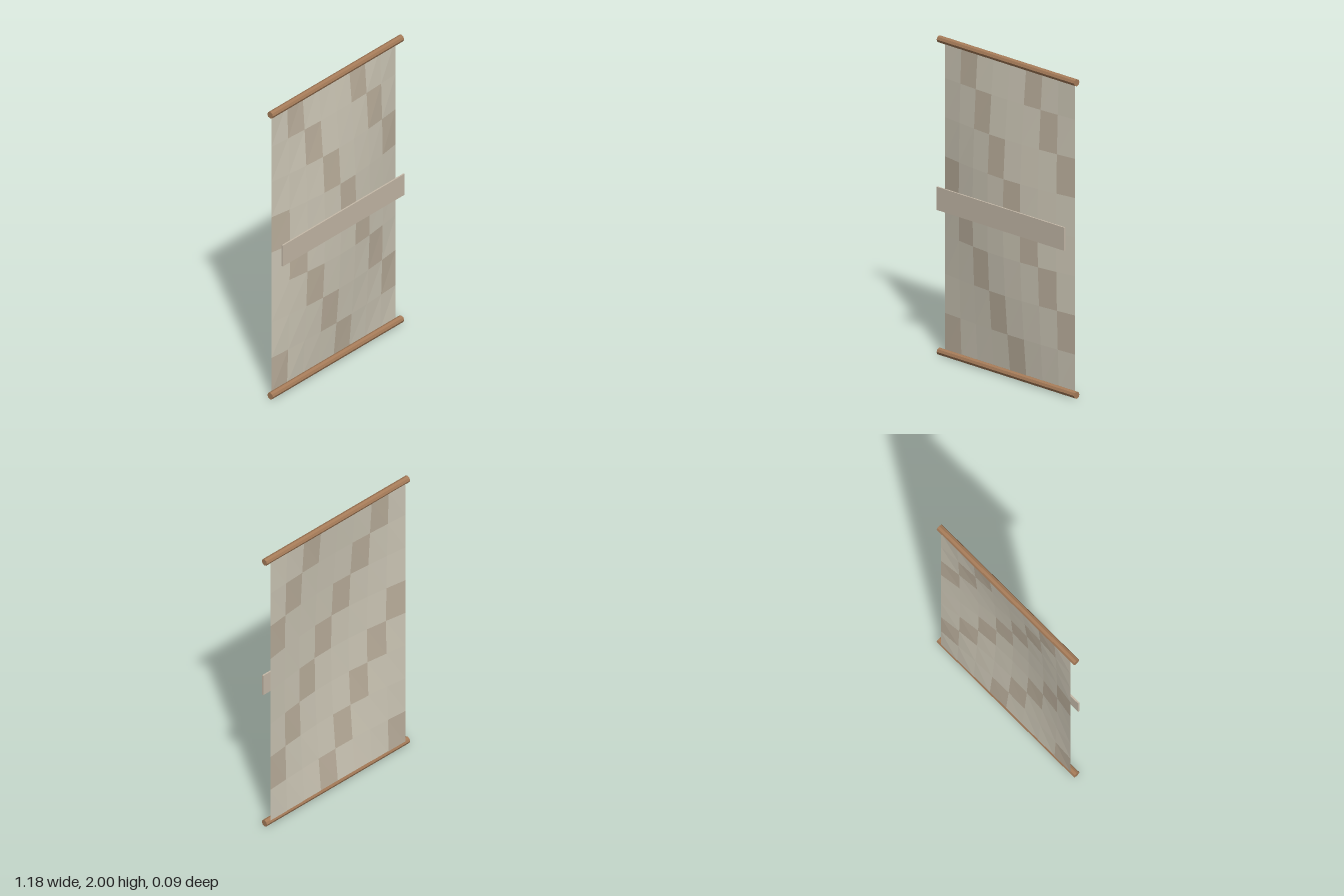
import * as THREE from 'three';

const COLS = 8, ROWS = 8, WIDTH = 1.12, HEIGHT = 1.96;

const paint = (color, options = {}) =>
  new THREE.MeshStandardMaterial({ color, flatShading: true, ...options });

// Cloth bulges forward in the middle and is straight along its border
function clothPoint(col, row) {
  const u = col / COLS, v = row / ROWS;
  const z = -0.04 + 0.06 * Math.sin(Math.PI * u) * Math.sin(Math.PI * v);
  return [(u - 0.5) * WIDTH, 1 + (v - 0.5) * HEIGHT, z];
}

// Collects the tiles of the cloth grid that pass the test into one surface
function clothTiles(name, material, test) {
  const positions = [];
  for (let row = 0; row < ROWS; row++) {
    for (let col = 0; col < COLS; col++) {
      if (!test(col, row)) continue;
      const a = clothPoint(col, row), b = clothPoint(col + 1, row);
      const c = clothPoint(col + 1, row + 1), d = clothPoint(col, row + 1);
      positions.push(...a, ...b, ...c, ...a, ...c, ...d);
    }
  }
  const geometry = new THREE.BufferGeometry();
  geometry.setAttribute('position', new THREE.Float32BufferAttribute(positions, 3));
  geometry.computeVertexNormals();
  const mesh = new THREE.Mesh(geometry, material);
  mesh.name = name;
  return mesh;
}

export function createModel() {
  const model = new THREE.Group();
  model.name = 'hangingScreen';

  // Cloth with diagonal runs of darker patches
  const cloth = new THREE.Group();
  cloth.name = 'cloth';
  const isPatch = (col, row) => (col + row) % 4 === 0;
  cloth.add(
    clothTiles('clothPanel', paint(0xcfc9b8, { side: THREE.DoubleSide }), (c, r) => !isPatch(c, r)),
    clothTiles('clothPatches', paint(0xbdb19e, { side: THREE.DoubleSide }), isPatch)
  );
  model.add(cloth);

  // Wooden rods at the top and bottom
  const wood = paint(0xa67c59);
  const rodGeometry = new THREE.CylinderGeometry(0.0225, 0.0225, 1.185, 8).rotateZ(Math.PI / 2);
  for (const [name, y] of [['topRod', 1.9775], ['bottomRod', 0.0225]]) {
    const rod = new THREE.Mesh(rodGeometry, wood);
    rod.name = name;
    rod.position.set(0, y, -0.0225);
    model.add(rod);
  }

  // Flat band across the front
  const band = new THREE.Mesh(new THREE.BoxGeometry(1.1, 0.145, 0.01), paint(0xc6baa9));
  band.name = 'frontBand';
  band.position.set(0, 1.003, 0.036);
  model.add(band);

  return model;
}
